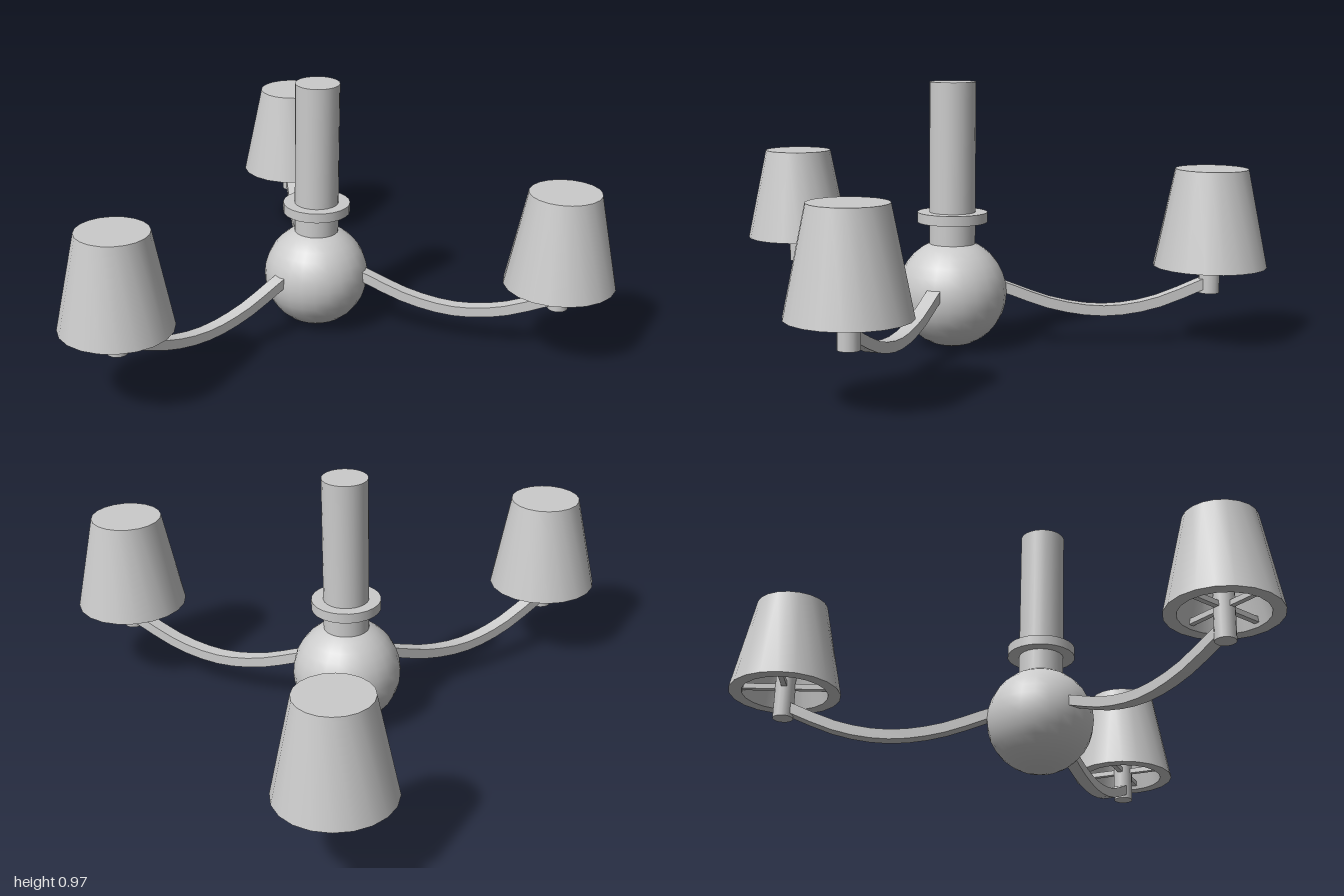
import * as THREE from 'three';
import { toCreasedNormals } from 'three/addons/utils/BufferGeometryUtils.js';

const material = new THREE.MeshStandardMaterial({ color: 0xcccccc });

function add(parent, name, geometry, x = 0, y = 0, z = 0) {
  const mesh = new THREE.Mesh(geometry, material);
  mesh.name = name;
  mesh.position.set(x, y, z);
  parent.add(mesh);
  return mesh;
}

const cylinder = (r, y0, y1, sides) =>
  new THREE.CylinderGeometry(r, r, y1 - y0, sides).translate(0, (y0 + y1) / 2, 0);

// Sagging arm with a rectangular section, running along +x from the hub
function armGeometry(length) {
  const curve = new THREE.CatmullRomCurve3(
    [[0.13, 0.24], [0.2, 0.216], [0.38, 0.153], [0.56, 0.128], [0.74, 0.152], [0.93, 0.225], [0.955, 0.235]]
      .map(([r, y]) => new THREE.Vector3((r / 0.955) * length, y, 0)));
  const half = 0.019, upper = [], lower = [];
  for (let i = 0; i <= 16; i++) {
    const p = curve.getPoint(i / 16), t = curve.getTangent(i / 16);
    upper.push(new THREE.Vector2(p.x - t.y * half, p.y + t.x * half));
    lower.push(new THREE.Vector2(p.x + t.y * half, p.y - t.x * half));
  }
  const shape = new THREE.Shape([...lower, ...upper.reverse()]);
  const width = 0.05;
  return toCreasedNormals(
    new THREE.ExtrudeGeometry(shape, { depth: width, bevelEnabled: false }).translate(0, 0, -width / 2), 0.6);
}

// Hollow thick-walled shade, closed at the top
function shadeGeometry() {
  const profile = [[0, 0.6], [0.095, 0.6], [0.16, 0.29], [0.207, 0.29], [0.133, 0.65], [0, 0.65]]
    .map(([r, y]) => new THREE.Vector2(r, y));
  return toCreasedNormals(new THREE.LatheGeometry(profile, 20), 0.6);
}

export function createModel() {
  const model = new THREE.Group();
  model.name = 'chandelier';

  // Central hub and stem
  const body = new THREE.Group();
  body.name = 'body';
  body.position.set(-0.034, 0, -0.197);
  model.add(body);
  add(body, 'hub', new THREE.SphereGeometry(0.2, 24, 16), 0, 0.2, 0);
  add(body, 'stem', cylinder(0.084, 0.36, 0.97, 24));
  add(body, 'collar', cylinder(0.128, 0.46, 0.497, 24));

  // Three unevenly spread arms, given as offsets from the hub
  const shade = shadeGeometry();
  for (const [dx, dz] of [[0, 0.963], [-0.757, -0.577], [0.823, -0.452]]) {
    const length = Math.hypot(dx, dz);
    const branch = new THREE.Group();
    branch.name = 'branch';
    branch.rotation.y = Math.atan2(-dz, dx);
    body.add(branch);
    add(branch, 'arm', armGeometry(length));

    // Lamp at the arm's tip
    const lamp = new THREE.Group();
    lamp.name = 'lamp';
    lamp.position.x = length;
    branch.add(lamp);
    add(lamp, 'holder', cylinder(0.038, 0.19, 0.4, 16));
    add(lamp, 'shade', shade);

    // Crossed spokes joining the holder to the shade
    add(lamp, 'spokeAlong', new THREE.BoxGeometry(0.33, 0.02, 0.02), 0, 0.315, 0);
    add(lamp, 'spokeAcross', new THREE.BoxGeometry(0.02, 0.02, 0.33), 0, 0.315, 0);
  }
  return model;
}
